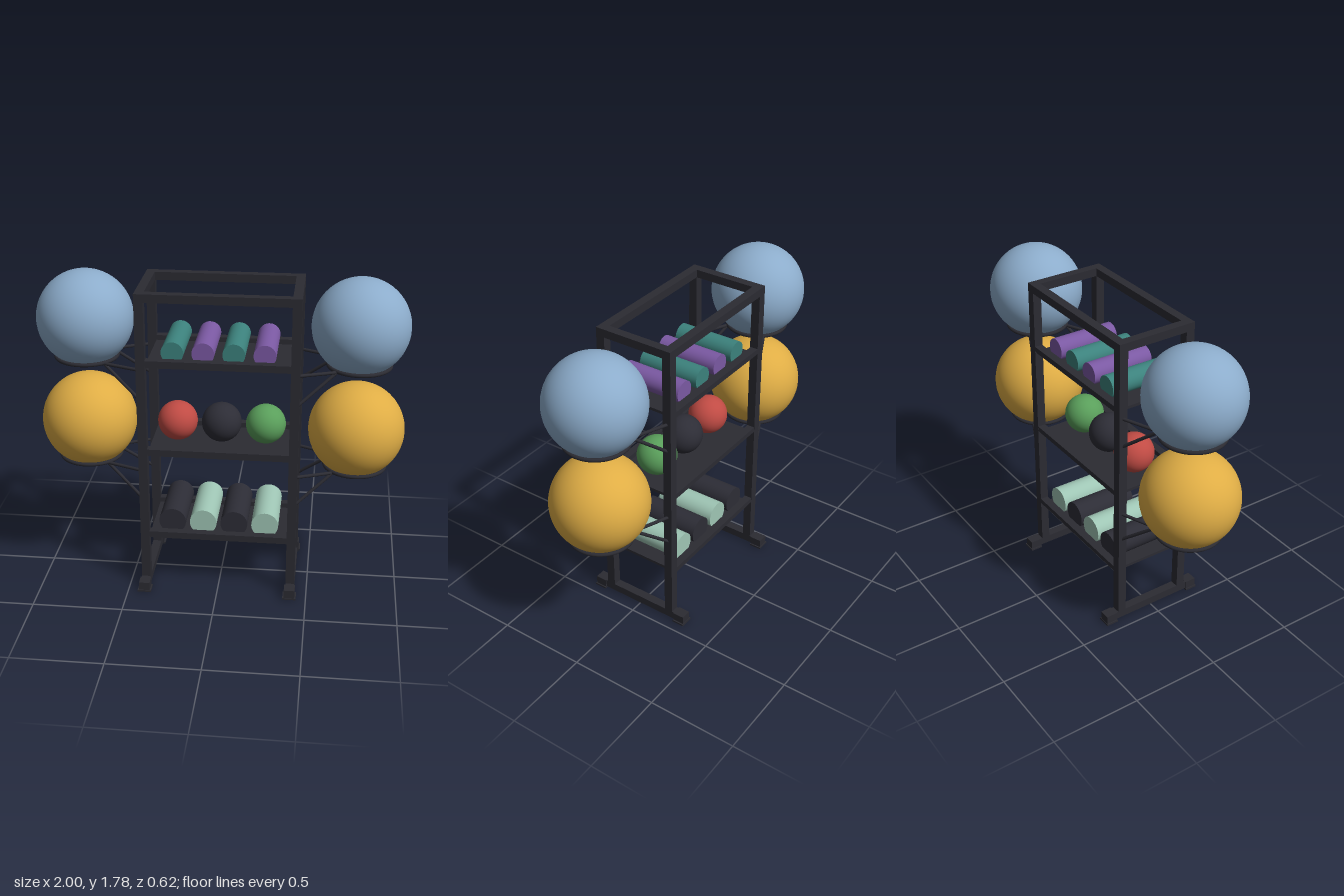
import * as THREE from 'three';

export function createModel() {
  const root = new THREE.Group();
  root.name = 'gymStorageRack';

  const mat = (name, color) => {
    const m = new THREE.MeshStandardMaterial({ color });
    m.name = name;
    return m;
  };
  const frame = mat('charcoalSteel', 0x2b2b32);
  const black = mat('blackRubber', 0x2d2d36);
  const blue = mat('softBlue', 0x8caccb);
  const yellow = mat('mustard', 0xdfad45);
  const red = mat('red', 0xc04b44);
  const green = mat('green', 0x5a9f5b);
  const teal = mat('teal', 0x3c827d);
  const purple = mat('purple', 0x7b59a3);
  const mint = mat('mint', 0x9fc6b5);

  const add = (name, geometry, material, x, y, z, parent = root) => {
    const mesh = new THREE.Mesh(geometry, material);
    mesh.name = name;
    mesh.position.set(x, y, z);
    parent.add(mesh);
    return mesh;
  };
  const box = (name, w, h, d, x, y, z, parent) =>
    add(name, new THREE.BoxGeometry(w, h, d), frame, x, y, z, parent);
  const ball = (name, r, material, x, y) =>
    add(name, new THREE.SphereGeometry(r, 48, 32), material, x, y, 0);
  // Round bar between two points
  const bar = (name, a, b, r, parent) => {
    const from = new THREE.Vector3(...a), to = new THREE.Vector3(...b);
    const dir = to.clone().sub(from);
    const mid = from.clone().add(to).multiplyScalar(0.5);
    const mesh = add(name, new THREE.CylinderGeometry(r, r, dir.length(), 12), frame, mid.x, mid.y, mid.z, parent);
    mesh.quaternion.setFromUnitVectors(new THREE.Vector3(0, 1, 0), dir.normalize());
  };

  // Upright frame with floor beams and feet
  const PX = 0.408, PZ = 0.202, T = 0.049;
  for (const sx of [-1, 1]) {
    for (const sz of [-1, 1]) {
      box('post', T, 1.67, T, sx * PX, 0.89, sz * PZ);
      box('beamEndCap', 0.06, 0.047, 0.066, sx * PX, 0.033, sz * 0.272);
      box('footPad', 0.075, 0.01, 0.07, sx * PX, 0.005, sz * 0.274);
    }
    box('floorBeam', T, 0.045, 0.6, sx * PX, 0.0325, 0);
    box('topSideRail', T, 0.045, 2 * PZ - T, sx * PX, 1.7025, 0);
  }
  for (const sz of [-1, 1]) box('topRail', 2 * PX - T, 0.045, T, 0, 1.7025, sz * PZ);

  // Shelves: a flat panel with a raised rail at front and back
  const shelves = [0.302, 0.807, 1.318];
  for (const y of shelves) {
    const shelf = new THREE.Group();
    shelf.name = 'shelf';
    root.add(shelf);
    box('shelfPanel', 0.767, 0.016, 0.43, 0, y + 0.008, 0, shelf);
    for (const sz of [-1, 1]) box('shelfRail', 0.767, 0.029, 0.045, 0, y + 0.029, sz * 0.2035, shelf);
  }

  // Rolls lying front to back on the bottom and top shelves
  const rolls = (name, r, spacing, y, colours) => colours.forEach((c, i) => {
    const g = new THREE.CylinderGeometry(r, r, 0.358, 40).rotateX(Math.PI / 2);
    add(name, g, c, (i - 1.5) * spacing, y + r, 0);
  });
  rolls('foamRoller', 0.075, 0.172, shelves[0] + 0.016, [black, mint, black, mint]);
  rolls('rolledMat', 0.06, 0.163, shelves[2] + 0.016, [teal, purple, teal, purple]);

  // Weighted balls on the middle shelf
  [red, black, green].forEach((c, i) => ball('medicineBall', 0.11, c, (i - 1) * 0.244, 0.934));

  // Large balls held in rings on both sides
  for (const [y, colour] of [[0.714, yellow], [1.302, blue]]) {
    for (const sx of [-1, 1]) {
      const holder = new THREE.Group();
      holder.name = 'ballHolder';
      root.add(holder);
      const ring = new THREE.TorusGeometry(0.167, 0.011, 12, 56).rotateX(Math.PI / 2);
      add('holderRing', ring, frame, sx * 0.738, y, 0, holder);
      for (const sz of [-1, 1]) {
        const tip = [sx * 0.62, y - 0.004, sz * 0.12];
        bar('holderArm', [sx * 0.42, y, sz * 0.205], tip, 0.009, holder);
        bar('holderStrut', [sx * 0.42, y - 0.17, sz * 0.202], tip, 0.009, holder);
      }
      ball('exerciseBall', 0.262, colour, sx * 0.738, y + 0.214);
    }
  }
  return root;
}
